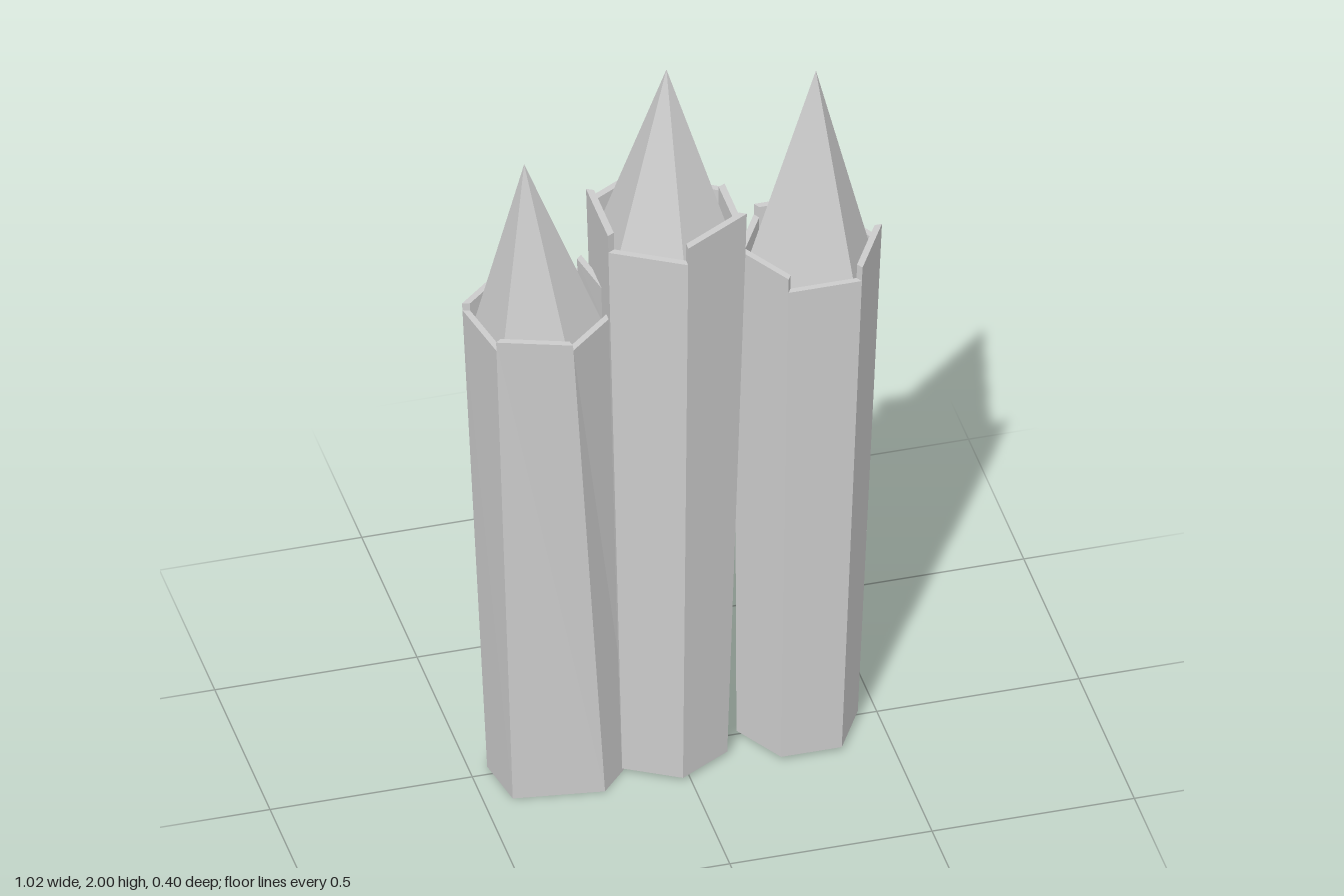
import * as THREE from 'three';

const material = new THREE.MeshStandardMaterial({ color: 0xcccccc, flatShading: true, side: THREE.DoubleSide });

// Six points around a centre on the ground plane, as [x, z]
function ring(cx, cz, r, startDeg) {
  return Array.from({ length: 6 }, (_, i) => {
    const a = THREE.MathUtils.degToRad(startDeg + i * 60);
    return [cx + r * Math.cos(a), cz + r * Math.sin(a)];
  });
}

function meshFrom(triangles, name) {
  const geometry = new THREE.BufferGeometry().setFromPoints(triangles);
  geometry.computeVertexNormals();
  const mesh = new THREE.Mesh(geometry, material);
  mesh.name = name;
  return mesh;
}

function addQuad(list, a, b, c, d) {
  list.push(a, b, c, a, c, d);
}

function makeTower({ name, bottom, top, y0, yRef, heights, seat, apex }) {
  const tower = new THREE.Group();
  tower.name = name;
  const centre = top.reduce((s, p) => [s[0] + p[0] / 6, s[1] + p[1] / 6], [0, 0]);

  // Point on the leaning outer corner line i at height y; inset < 1 pulls it inward
  const corner = (i, y, inset = 1) => {
    const k = i % 6, t = (y - y0) / (yRef - y0);
    const x = THREE.MathUtils.lerp(bottom[k][0], top[k][0], t);
    const z = THREE.MathUtils.lerp(bottom[k][1], top[k][1], t);
    return new THREE.Vector3(
      centre[0] + (x - centre[0]) * inset, y, centre[1] + (z - centre[1]) * inset);
  };

  // Side panels, open underneath, each with its own rim height
  heights.forEach((h, i) => {
    const tri = [];
    const lo = [corner(i, y0), corner(i + 1, y0)];
    const hi = [corner(i, h), corner(i + 1, h)];
    const rim = [corner(i, h, 0.9), corner(i + 1, h, 0.9)];
    const outSeat = [corner(i, seat), corner(i + 1, seat)];
    const inSeat = [corner(i, seat, 0.9), corner(i + 1, seat, 0.9)];
    addQuad(tri, lo[0], hi[0], hi[1], lo[1]);
    addQuad(tri, hi[0], rim[0], rim[1], hi[1]);
    addQuad(tri, rim[0], inSeat[0], inSeat[1], rim[1]);
    addQuad(tri, outSeat[0], inSeat[0], rim[0], hi[0]);
    addQuad(tri, hi[1], rim[1], inSeat[1], outSeat[1]);
    tower.add(meshFrom(tri, 'sidePanel' + (i + 1)));
  });

  // Pointed tip seated inside the rim
  const tip = new THREE.Vector3(...apex), tri = [];
  for (let i = 0; i < 6; i++) tri.push(corner(i, seat, 0.9), tip, corner(i + 1, seat, 0.9));
  tower.add(meshFrom(tri, 'pointedTip'));
  return tower;
}

export function createModel() {
  const model = new THREE.Group();
  model.name = 'hexagonalTowers';

  model.add(makeTower({
    name: 'middleTower', y0: 0.01, yRef: 1.6, seat: 1.49, apex: [-0.02, 2, 0],
    bottom: ring(-0.02, 0, 0.15, -30), top: ring(-0.02, 0, 0.198, -30),
    heights: [1.56, 1.61, 1.56, 1.61, 1.58, 1.55],
  }));

  model.add(makeTower({
    name: 'leftTower', y0: 0.01, yRef: 1.42, seat: 1.35, apex: [0.355, 1.91, -0.02],
    bottom: ring(0.303, 0, 0.15, 0), top: ring(0.33, 0, 0.182, 0),
    heights: [1.44, 1.4, 1.44, 1.41, 1.44, 1.4],
  }));

  // Leaning tower with an uneven foot
  model.add(makeTower({
    name: 'rightTower', y0: 0, yRef: 1.36, seat: 1.28, apex: [-0.38, 1.81, 0.03],
    bottom: [[-0.11, 0.03], [-0.21, 0.14], [-0.43, 0.11], [-0.455, -0.03], [-0.355, -0.14], [-0.135, -0.11]],
    top: ring(-0.335, 0, 0.184, 19),
    heights: [1.35, 1.365, 1.34, 1.36, 1.36, 1.4],
  }));

  return model;
}
